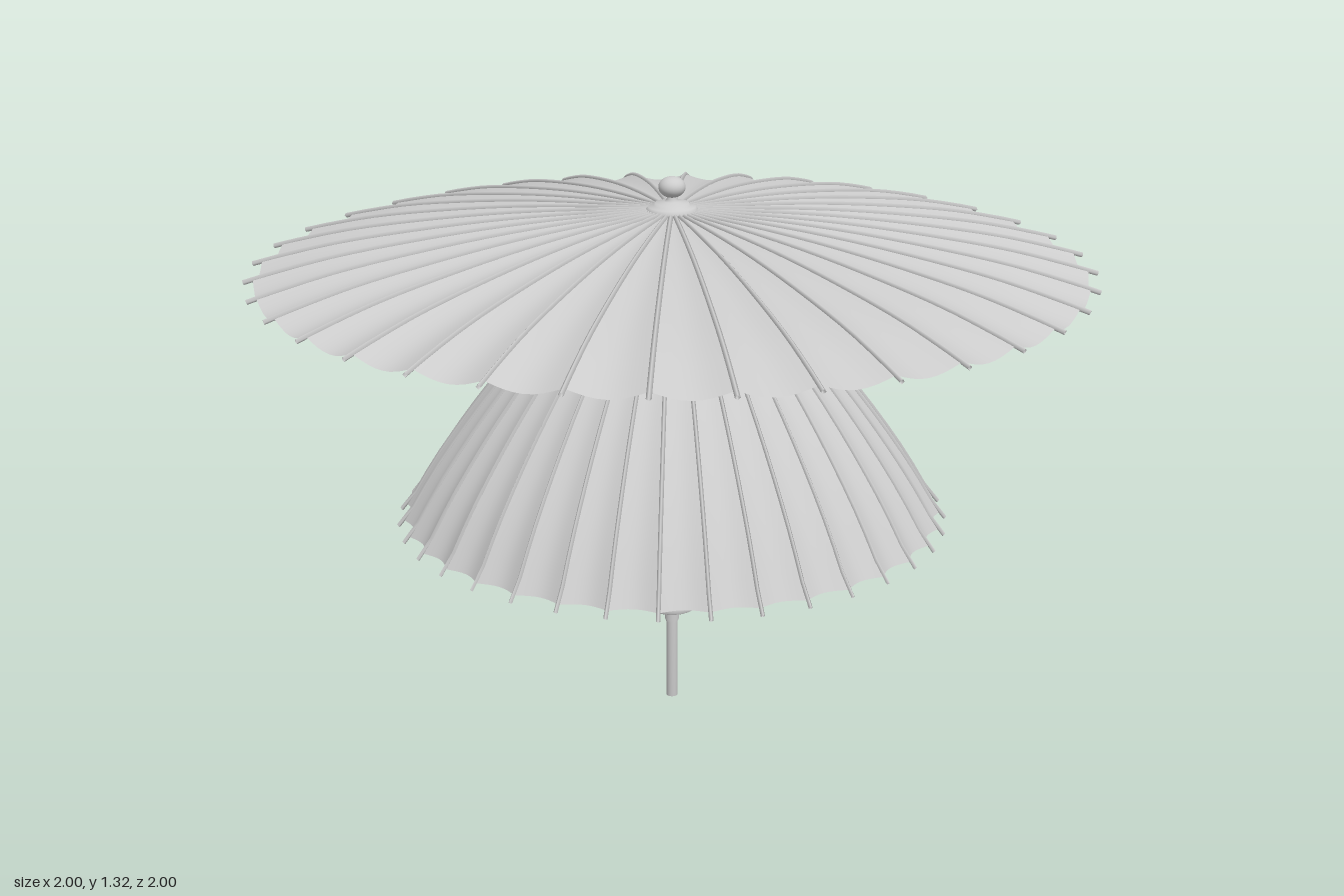
import * as THREE from 'three';

const RIBS = 36;
const paint = new THREE.MeshStandardMaterial({ color: 0xcccccc, side: THREE.DoubleSide });
paint.name = 'pale grey';

const curveOf = (pts) => new THREE.CatmullRomCurve3(pts.map(([r, y]) => new THREE.Vector3(r, y, 0)));

function part(name, geometry, parent) {
  const mesh = new THREE.Mesh(geometry, paint);
  mesh.name = name;
  parent.add(mesh);
  return mesh;
}

function lathe(name, pts, parent, sides = 32) {
  return part(name, new THREE.LatheGeometry(pts.map(([r, y]) => new THREE.Vector2(r, y)), sides), parent);
}

// Cloth made of separate panels, each sagging between two ribs
function clothGeometry(curve, sagIn, sagDown) {
  const rows = 16, cols = 8, pos = [], index = [];
  const profile = curve.getSpacedPoints(rows);
  for (let p = 0; p < RIBS; p++) {
    const start = pos.length / 3;
    for (let i = 0; i <= rows; i++) {
      for (let j = 0; j <= cols; j++) {
        const a = ((p + j / cols) / RIBS) * Math.PI * 2;
        const sag = Math.sin((Math.PI * j) / cols) * Math.pow(i / rows, 1.3);
        const r = profile[i].x - sagIn * sag;
        pos.push(r * Math.cos(a), profile[i].y - sagDown * sag, r * Math.sin(a));
        if (i < rows && j < cols) {
          const k = start + i * (cols + 1) + j, n = k + cols + 1;
          index.push(k, k + 1, n, k + 1, n + 1, n);
        }
      }
    }
  }
  const g = new THREE.BufferGeometry();
  g.setAttribute('position', new THREE.Float32BufferAttribute(pos, 3));
  g.setIndex(index);
  g.computeVertexNormals();
  return g;
}

// Ring of ribs following a profile
function ribRing(name, curve, radius, parent) {
  const g = new THREE.TubeGeometry(curve, 16, radius, 4);
  const ring = new THREE.Group();
  ring.name = name + 's';
  for (let i = 0; i < RIBS; i++) part(name, g, ring).rotation.y = (i / RIBS) * Math.PI * 2;
  parent.add(ring);
}

export function createModel() {
  const model = new THREE.Group();
  model.name = 'tieredParasol';

  // Wide upper canopy: cloth ends just short of the rib tips
  const upper = [[0.02, 1.245], [0.2, 1.235], [0.4, 1.217], [0.6, 1.19], [0.8, 1.155], [0.975, 1.111]];
  part('upperCanopy', clothGeometry(curveOf(upper), 0.004, 0.02), model);
  ribRing('upperRib', curveOf([...upper, [0.998, 1.104]]), 0.006, model);

  // Steep lower canopy
  const lower = [[0.015, 1.22], [0.165, 1.1], [0.32, 0.95], [0.455, 0.79], [0.57, 0.63], [0.65, 0.5]];
  part('lowerCanopy', clothGeometry(curveOf(lower), 0.018, 0), model);
  ribRing('lowerRib', curveOf([...lower, [0.665, 0.487]]), 0.005, model);

  // Folded bundle around the pole, with its slim ribs
  const bundle = [[0.055, 0.245], [0.058, 0.29], [0.074, 0.35], [0.075, 0.42], [0.071, 0.55],
    [0.066, 0.7], [0.074, 0.8], [0.098, 0.88]];
  lathe('foldedBundle', bundle, model, 72);
  ribRing('bundleRib', curveOf(bundle), 0.0035, model);
  lathe('bundleTop', [[0.098, 0.88], [0.06, 0.91], [0.015, 0.92]], model);
  lathe('bundleCollar', [[0.056, 0.24], [0.061, 0.243], [0.061, 0.255], [0.056, 0.258]], model);
  lathe('bundleFloor', [[0.016, 0.3], [0.056, 0.3]], model);

  // Pole with a stepped ferrule
  lathe('pole', [[0.001, 0], [0.014, 0], [0.014, 0.2], [0.018, 0.21], [0.018, 1.24]], model, 20);

  // Cap and finial
  lathe('capPlate', [[0.062, 1.235], [0.062, 1.246], [0.056, 1.254], [0.042, 1.256], [0.04, 1.263],
    [0.018, 1.266], [0.012, 1.272], [0.011, 1.29]], model);
  const knob = part('finialKnob', new THREE.SphereGeometry(0.032, 28, 18), model);
  knob.scale.y = 0.78;
  knob.position.y = 1.3;

  return model;
}
